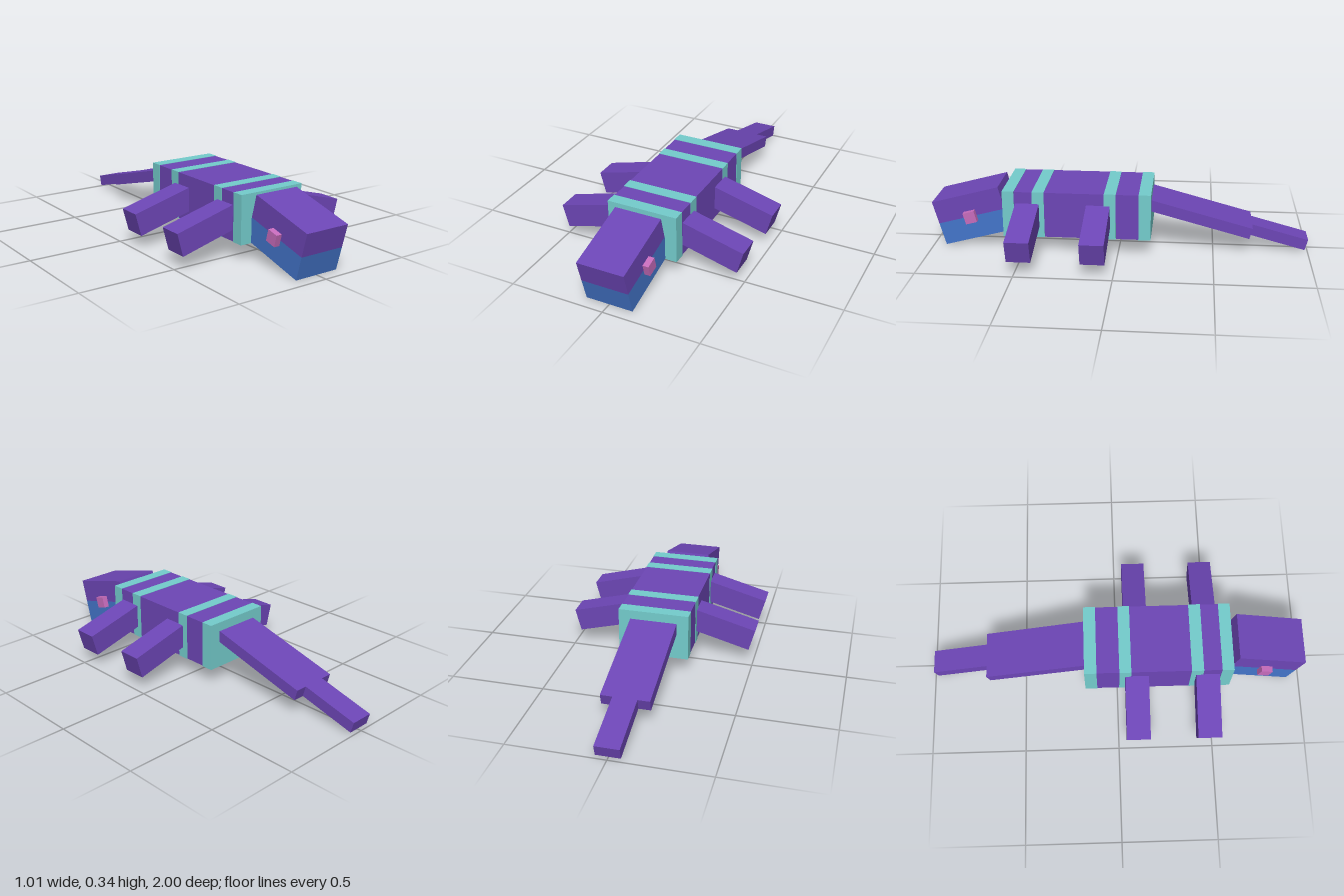
import * as THREE from 'three';

export function createModel() {
  const root = new THREE.Group();
  const purple = new THREE.MeshStandardMaterial({ name: 'purple', color: 0x6d46b6 });
  const teal = new THREE.MeshStandardMaterial({ name: 'teal', color: 0x74cdcd });
  const blue = new THREE.MeshStandardMaterial({ name: 'blue', color: 0x4475ca });
  const pink = new THREE.MeshStandardMaterial({ name: 'pink', color: 0xc76cbc });
  const tilt = THREE.MathUtils.degToRad(15);

  function box(parent, name, size, pos, material) {
    const mesh = new THREE.Mesh(new THREE.BoxGeometry(...size), material);
    mesh.name = name;
    mesh.position.set(...pos);
    parent.add(mesh);
    return mesh;
  }

  function group(name, pos, angle) {
    const g = new THREE.Group();
    g.name = name;
    g.position.set(...pos);
    g.rotation.x = angle;
    root.add(g);
    return g;
  }

  // Body: alternating teal bands and purple sections, from rear to front
  const cuts = [-0.172, -0.108, 0.01, 0.072, 0.385, 0.448, 0.543, 0.605];
  for (let i = 0; i < cuts.length - 1; i++) {
    const band = i % 2 === 0;
    const grow = band ? 0.004 : 0;
    box(root, band ? 'bodyBand' : 'bodySection',
      [0.368 + grow, 0.246 + grow, cuts[i + 1] - cuts[i]],
      [0, 0.216, (cuts[i] + cuts[i + 1]) / 2], band ? teal : purple);
  }

  // Head: nose tipped down, purple skull over a blue jaw, eyes on the sides
  const head = group('head', [0, 0.1725, 0.787], tilt);
  box(head, 'skull', [0.248, 0.124, 0.372], [0, 0.062, 0], purple);
  box(head, 'jaw', [0.248, 0.124, 0.372], [0, -0.062, 0], blue);
  for (const side of [-1, 1]) {
    box(head, side > 0 ? 'leftEye' : 'rightEye', [0.062, 0.062, 0.062], [side * 0.124, 0.002, 0.003], pink);
  }

  // Legs: two pairs sloping outwards and down
  for (const [name, z] of [['front', 0.474], ['back', 0.103]]) {
    for (const side of [-1, 1]) {
      const leg = box(root, name + (side > 0 ? 'LeftLeg' : 'RightLeg'),
        [0.38, 0.122, 0.124], [side * 0.304, 0.181, z], purple);
      leg.rotation.z = -side * tilt;
    }
  }

  // Tail: flat, sloping down to a narrower tip; origin at the tip's end
  const tail = group('tail', [0, 0.042, -0.992], -tilt);
  box(tail, 'tailTip', [0.124, 0.06, 0.308], [0, 0, 0.154], purple);
  box(tail, 'tailBase', [0.248, 0.06, 0.6], [0, 0, 0.608], purple);

  return root;
}
